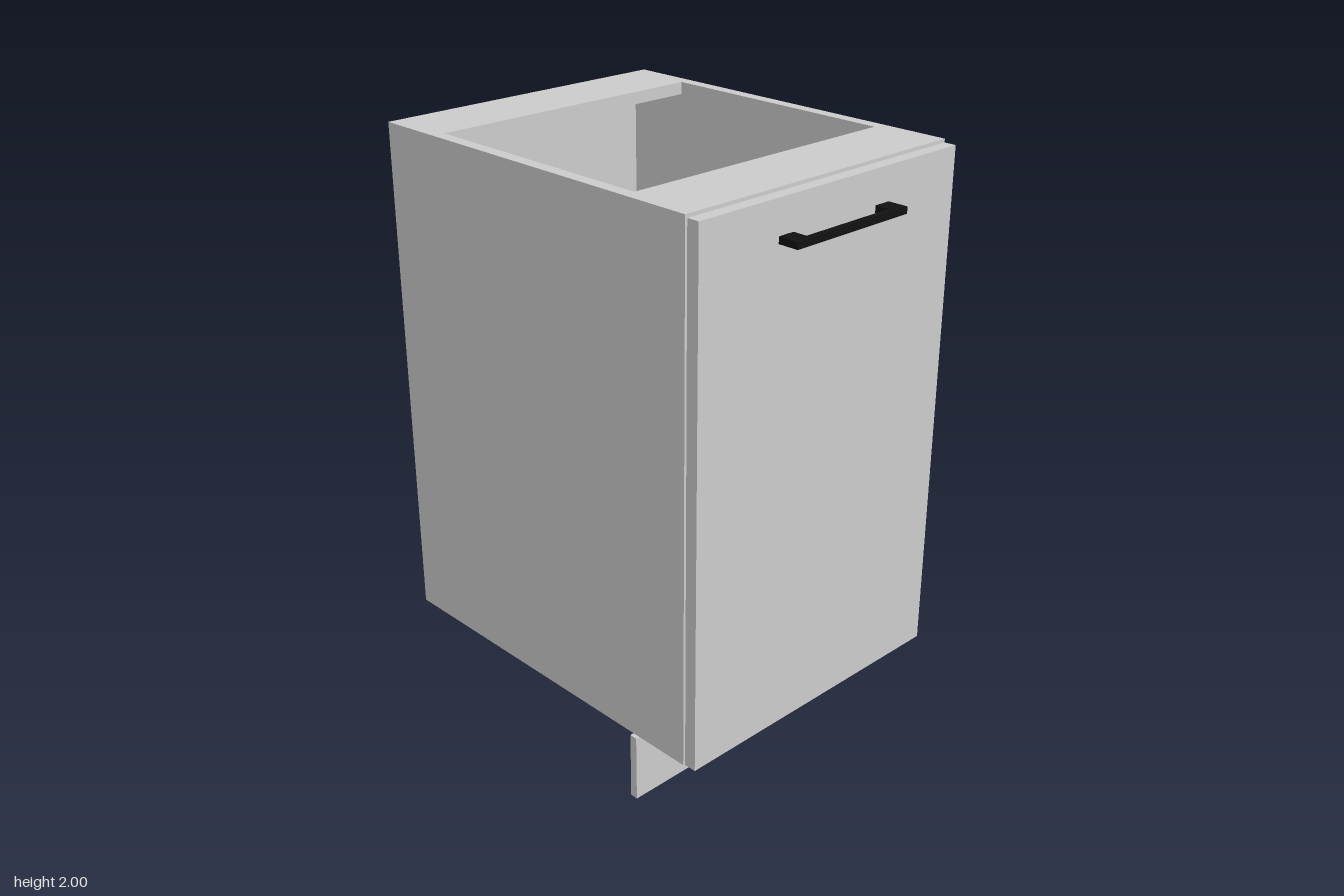
import * as THREE from 'three';

const grey = new THREE.MeshStandardMaterial({ color: 0xcccccc });
const black = new THREE.MeshStandardMaterial({ color: 0x111111 });

// Box given by its minimum and maximum on each axis
function panel(parent, name, [x0, x1], [y0, y1], [z0, z1], material = grey) {
  const mesh = new THREE.Mesh(new THREE.BoxGeometry(x1 - x0, y1 - y0, z1 - z0), material);
  mesh.position.set((x0 + x1) / 2, (y0 + y1) / 2, (z0 + z1) / 2);
  mesh.name = name;
  parent.add(mesh);
}

export function createModel() {
  const model = new THREE.Group();
  model.name = 'baseCabinet';

  const W = 0.548, T = 0.042;          // half width, board thickness
  const bottom = 0.25, top = 2;
  const back = -0.722, front = 0.615;
  const inner = [-W + T, W - T];

  // Carcass: sides, floor, top rails and back
  const carcass = new THREE.Group();
  carcass.name = 'carcass';
  model.add(carcass);
  panel(carcass, 'leftSide', [W - T, W], [bottom, top], [back, front]);
  panel(carcass, 'rightSide', [-W, -W + T], [bottom, top], [back, front]);
  panel(carcass, 'floor', inner, [bottom, bottom + T], [back, front]);
  panel(carcass, 'frontRail', inner, [top - T, top], [0.375, front]);
  panel(carcass, 'backRail', inner, [top - T, top], [back, -0.485]);
  panel(carcass, 'backPanel', [-W + 0.006, W - 0.006], [bottom + 0.006, top - 0.006], [-0.73, back]);

  // Door and recessed plinth
  panel(model, 'door', [-0.543, 0.543], [bottom, 1.99], [front + 0.003, 0.66]);
  panel(model, 'plinth', [-W, W], [0, 0.235], [0.375, 0.402]);

  // Handle: bar on two feet
  const handle = new THREE.Group();
  handle.name = 'handle';
  model.add(handle);
  const height = [1.858, 1.88];
  panel(handle, 'handleBar', [-0.176, 0.176], height, [0.708, 0.73], black);
  panel(handle, 'leftFoot', [0.176, 0.235], height, [0.66, 0.73], black);
  panel(handle, 'rightFoot', [-0.235, -0.176], height, [0.66, 0.73], black);

  return model;
}
